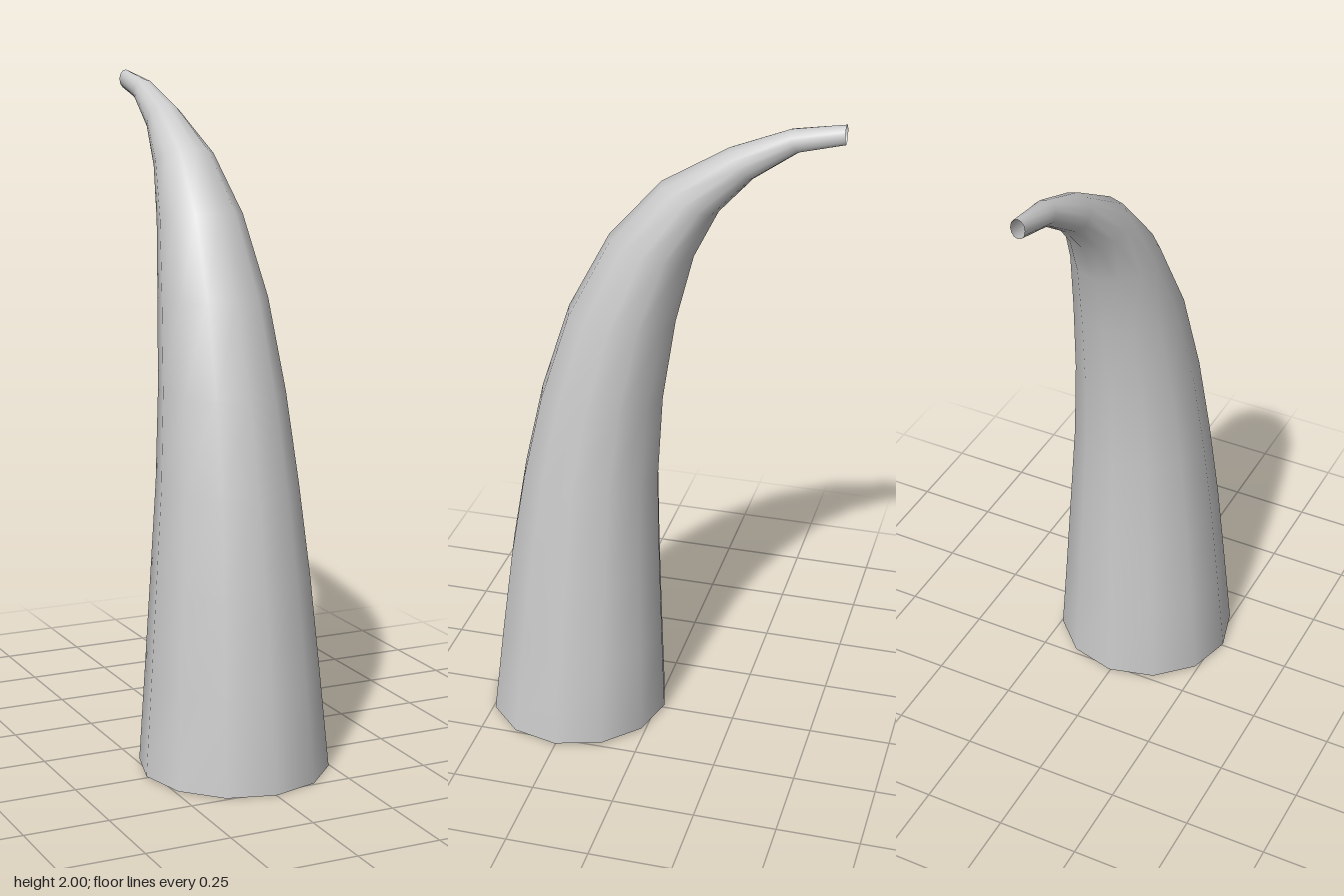
import * as THREE from 'three';

// Each ring of the horn: front z, front y, back z, back y, half width in x
const RINGS = [
  [0.53, 0.0, -0.027, 0.01, 0.28],
  [0.495, 0.285, -0.018, 0.28, 0.257],
  [0.457, 0.57, -0.01, 0.55, 0.234],
  [0.41, 0.84, -0.005, 0.84, 0.208],
  [0.35, 1.105, -0.02, 1.11, 0.185],
  [0.263, 1.374, -0.058, 1.363, 0.16],
  [0.138, 1.613, -0.11, 1.57, 0.126],
  [-0.016, 1.788, -0.18, 1.713, 0.09],
  [-0.207, 1.904, -0.276, 1.82, 0.055],
  [-0.377, 1.973, -0.403, 1.91, 0.035],
  [-0.53, 2.0, -0.53, 1.942, 0.021],
];
const SIDES = 12;

// Skins the rings into an open tube with a shared seam, so normals stay smooth
function loftRings(rings) {
  const positions = [];
  const indices = [];
  rings.forEach(([fz, fy, bz, by, halfWidth], r) => {
    for (let s = 0; s < SIDES; s++) {
      const a = (s / SIDES) * Math.PI * 2;
      const t = (1 - Math.cos(a)) / 2;
      positions.push(
        Math.sin(a) * halfWidth,
        THREE.MathUtils.lerp(fy, by, t),
        THREE.MathUtils.lerp(fz, bz, t)
      );
      if (r === rings.length - 1) continue;
      const i = r * SIDES + s;
      const j = r * SIDES + ((s + 1) % SIDES);
      indices.push(i, j, j + SIDES, i, j + SIDES, i + SIDES);
    }
  });
  const geometry = new THREE.BufferGeometry();
  geometry.setAttribute('position', new THREE.Float32BufferAttribute(positions, 3));
  geometry.setIndex(indices);
  geometry.computeVertexNormals();
  return geometry;
}

export function createModel() {
  const group = new THREE.Group();
  group.name = 'curvedHorn';

  // Hollow horn, open at the base and the tip
  const horn = new THREE.Mesh(
    loftRings(RINGS),
    new THREE.MeshStandardMaterial({ color: 0xcccccc, side: THREE.DoubleSide })
  );
  horn.name = 'horn';
  group.add(horn);
  return group;
}
